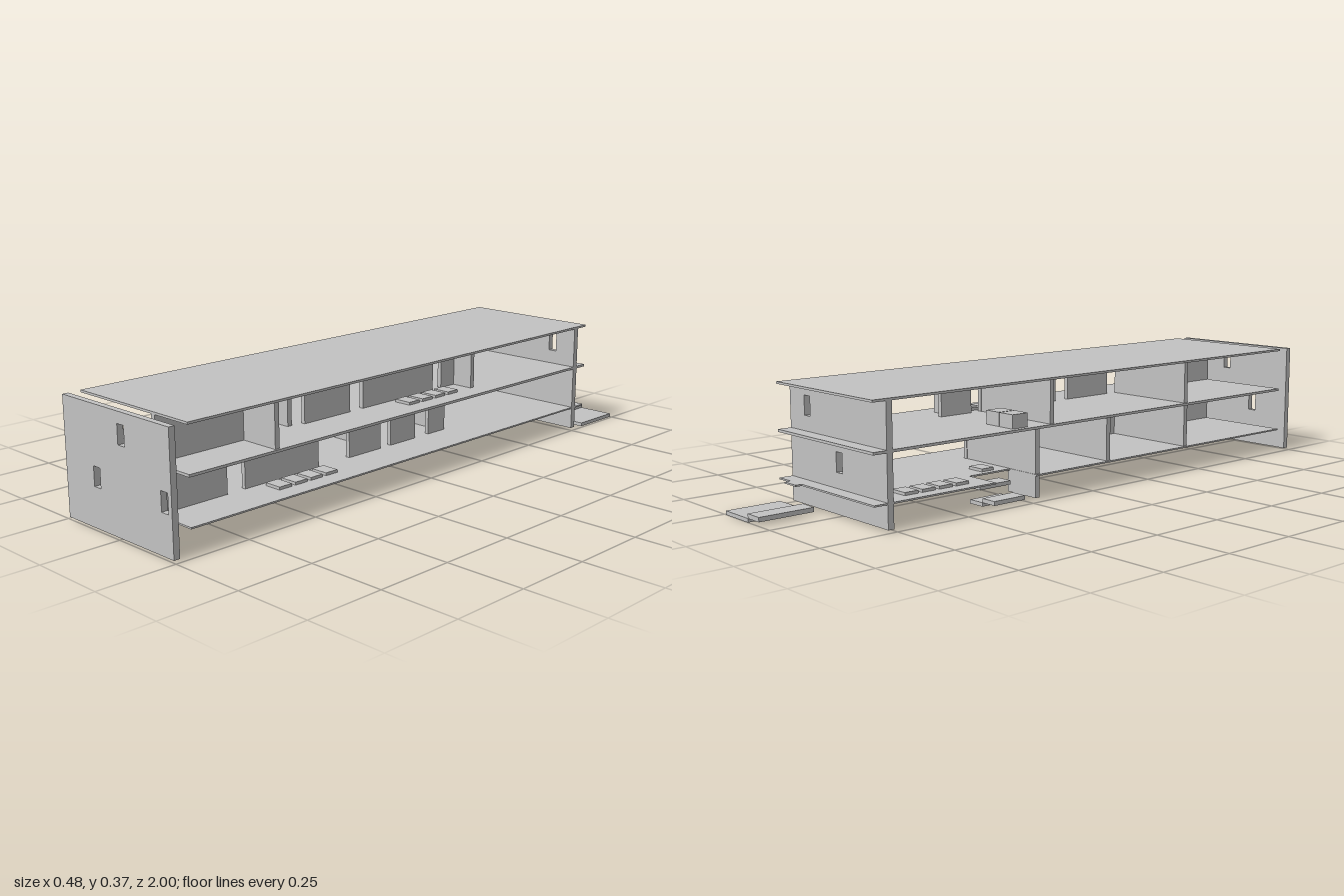
import * as THREE from 'three';

export function createModel() {
  const model = new THREE.Group();
  model.name = 'building';
  const concrete = new THREE.MeshStandardMaterial({ color: 0xc3c3c3 });
  concrete.name = 'pale grey';

  const add = (name, geometry, parent = model) => {
    const mesh = new THREE.Mesh(geometry, concrete);
    mesh.name = name;
    parent.add(mesh);
    return mesh;
  };
  // box given by its limits on each axis
  const block = (name, x0, x1, y0, y1, z0, z1, parent) => {
    const g = new THREE.BoxGeometry(x1 - x0, y1 - y0, z1 - z0);
    g.translate((x0 + x1) / 2, (y0 + y1) / 2, (z0 + z1) / 2);
    return add(name, g, parent);
  };
  const polygon = (points) => new THREE.Shape(points.map(([a, b]) => new THREE.Vector2(a, b)));
  const rect = (x0, x1, y0, y1) => [[x0, y0], [x1, y0], [x1, y1], [x0, y1]];

  const W = 0.242, GROUND = 0.083, UPPER = 0.229;

  // end walls with window openings
  const endWall = (name, z, thickness, windows) => {
    const shape = polygon(rect(-W, W, 0.007, 0.37));
    for (const [x, y] of windows) {
      shape.holes.push(polygon(rect(x - 0.015, x + 0.015, y - 0.03, y + 0.03)));
    }
    const g = new THREE.ExtrudeGeometry(shape, { depth: thickness, bevelEnabled: false });
    add(name, g.translate(0, 0, z));
  };
  endWall('frontWall', 0.98, 0.02, [[-0.092, 0.16], [0.03, 0.305], [0.212, 0.16]]);
  endWall('backWall', -0.775, 0.02, [[0.15, 0.305], [-0.01, 0.16]]);

  // roof and upper floor
  block('roof', -W, W, 0.364, 0.371, -0.82, 0.94);
  block('upperFloor', -W, W, 0.221, UPPER, -0.82, 0.94);

  // ground floor with a stair notch and a door sill at the back
  const floor = polygon([
    [-W, -0.94], [W, -0.94], [W, 0.82], [0.18, 0.82], [0.18, 0.84], [0.12, 0.84],
    [0.12, 0.82], [-W, 0.82], [-W, 0.39], [-0.12, 0.39], [-0.12, 0.23], [-W, 0.23],
  ]);
  const floorGeometry = new THREE.ExtrudeGeometry(floor, { depth: 0.005, bevelEnabled: false });
  add('groundFloor', floorGeometry.rotateX(-Math.PI / 2).translate(0, 0.078, 0));

  // corridor walls, broken by doorways
  const corridor = new THREE.Group();
  corridor.name = 'corridorWalls';
  model.add(corridor);
  const lowerRuns = [[0.70, 0.94], [0.345, 0.635], [0.075, 0.215], [-0.085, 0.03], [-0.23, -0.15]];
  const upperRuns = [[0.52, 0.94], [0.21, 0.40], [-0.17, 0.155], [-0.33, -0.21]];
  for (const [z0, z1] of lowerRuns) block('lowerCorridorWall', 0.088, 0.102, GROUND, 0.221, z0, z1, corridor);
  for (const [z0, z1] of upperRuns) block('upperCorridorWall', 0.088, 0.102, UPPER, 0.364, z0, z1, corridor);

  // cross partitions between rooms
  const partition = (x0, x1, y0, y1, z) => block('partition', x0, x1, y0, y1, z - 0.008, z + 0.008);
  for (const z of [0.447, 0.082, -0.22]) partition(-0.235, 0.088, GROUND, 0.221, z);
  for (const z of [0.447, -0.16]) partition(-0.235, 0.088, UPPER, 0.364, z);
  partition(0.102, 0.235, UPPER, 0.364, 0.627);
  partition(0.102, 0.175, UPPER, 0.364, -0.283);
  partition(-0.235, -0.11, 0.01, GROUND, -0.22);

  // rows of low plinths
  const plinths = (x0, y, firstZ, count) => {
    for (let i = 0; i < count; i++) {
      const z = firstZ - i * 0.061;
      block('plinth', x0, x0 + 0.06, y, y + 0.009, z - 0.047, z);
    }
  };
  plinths(0.12, GROUND, 0.573, 4);
  plinths(0.12, UPPER, 0.027, 4);
  plinths(-0.2, GROUND, -0.457, 4);
  plinths(-0.1, GROUND, -0.278, 1);

  // pair of cabinets on the upper floor
  for (const x of [-0.225, -0.163]) block('cabinet', x, x + 0.058, UPPER, 0.272, -0.31, -0.25);

  // side steps in the floor notch
  block('sideStep', -0.18, -0.123, 0, 0.012, -0.39, -0.27);
  block('sideStep', -0.235, -0.18, 0.012, 0.025, -0.39, -0.27);
  block('sideStep', -0.17, -0.115, 0.048, 0.06, -0.39, -0.27);

  // back entrance steps
  block('backStep', 0.117, W, 0, 0.012, -1, -0.82);
  block('backStep', 0.057, 0.117, 0.012, 0.026, -1, -0.82);
  return model;
}
